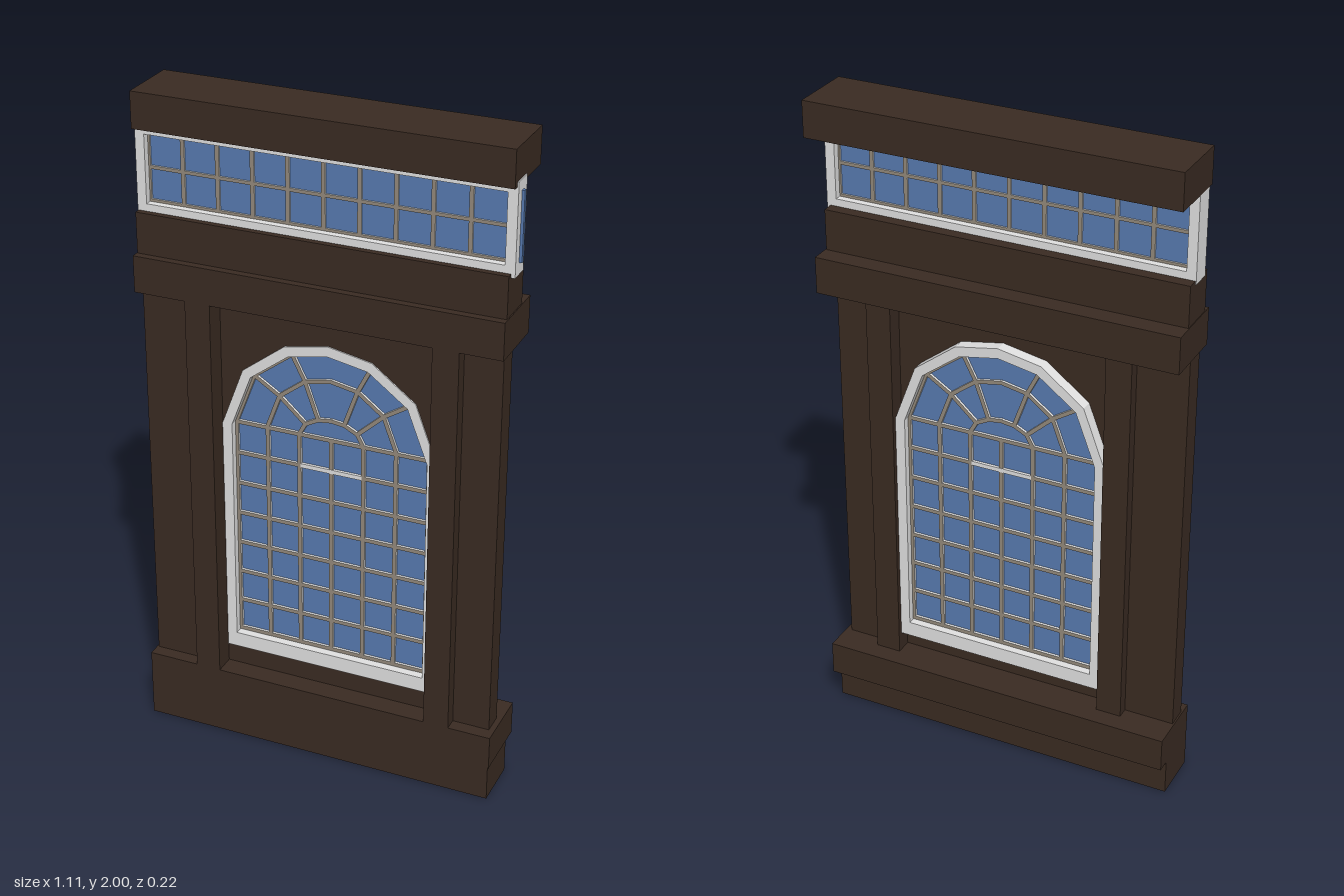
import * as THREE from 'three';

const mat = (name, color) => {
  const m = new THREE.MeshStandardMaterial({ color });
  m.name = name;
  return m;
};

export function createModel() {
  const root = new THREE.Group();
  root.name = 'windowBay';
  const wood = mat('darkBrown', 0x3a2b22);
  const white = mat('frameWhite', 0xe2e2e2);
  const taupe = mat('glazingBarTaupe', 0x948a7c);
  const blue = mat('glassBlue', 0x587bb1);

  const add = (name, geo, material, parent = root) => {
    const m = new THREE.Mesh(geo, material);
    m.name = name;
    parent.add(m);
    return m;
  };
  // Box given by its limits on each axis
  const box = (name, x0, x1, y0, y1, z0, z1, material, parent) => {
    const m = add(name, new THREE.BoxGeometry(x1 - x0, y1 - y0, z1 - z0), material, parent);
    m.position.set((x0 + x1) / 2, (y0 + y1) / 2, (z0 + z1) / 2);
    return m;
  };
  const extrude = (name, shape, z0, z1, material) => {
    const geo = new THREE.ExtrudeGeometry(shape, { depth: z1 - z0, bevelEnabled: false });
    geo.translate(0, 0, z0);
    return add(name, geo, material);
  };

  // Plinth, bands and cornice
  box('plinthLower', -0.557, 0.541, 0, 0.11, -0.045, 0.11, wood);
  box('plinthUpper', -0.557, 0.544, 0.11, 0.215, -0.087, 0.11, wood);
  box('entablature', -0.557, 0.539, 1.42, 1.53, -0.087, 0.11, wood);
  box('frieze', -0.555, 0.536, 1.53, 1.652, -0.029, 0.087, wood);
  box('cornice', -0.557, 0.543, 1.893, 2, -0.11, 0.087, wood);

  // Outer wall strips and the pilasters that stand proud of them
  box('wallRight', -0.552, -0.4, 0.215, 1.42, 0.005, 0.07, wood);
  box('wallLeft', 0.415, 0.527, 0.215, 1.42, 0.005, 0.07, wood);
  box('pilasterRight', -0.4, -0.323, 0.215, 1.42, -0.03, 0.11, wood);
  box('pilasterLeft', 0.338, 0.415, 0.215, 1.42, -0.03, 0.11, wood);

  // Arched outlines
  const cx = 0.008, spring = 1.03;
  const arch = (w, h) => [[1, 0], [0.797, 0.59], [0.4, 0.918], [0, 1], [-0.4, 0.918], [-0.797, 0.59], [-1, 0]]
    .map(([x, y]) => new THREE.Vector2(cx + x * w, spring + y * h));
  const outline = (w, h, bottom) => [
    new THREE.Vector2(cx - w, bottom), new THREE.Vector2(cx + w, bottom), ...arch(w, h)];
  const outer = outline(0.33, 0.303, 0.275);
  const inner = outline(0.3, 0.272, 0.322);

  // Wall around the arch
  const panel = new THREE.Shape([[-0.323, 0.215], [0.338, 0.215], [0.338, 1.42], [-0.323, 1.42]]
    .map(p => new THREE.Vector2(...p)));
  panel.holes.push(new THREE.Path(outline(0.324, 0.297, 0.28)));
  extrude('archWall', panel, 0.022, 0.046, wood);

  // Arched frame and glass
  const frame = new THREE.Shape(outer);
  frame.holes.push(new THREE.Path(inner));
  extrude('archFrame', frame, -0.015, 0.05, white);
  extrude('archGlass', new THREE.Shape(inner), 0.014, 0.02, blue);

  // Glazing bars: white edges with taupe front and back faces
  const bars = new THREE.Group();
  bars.name = 'archGlazingBars';
  bars.position.z = 0.017;
  root.add(bars);
  const barMaterials = [white, white, white, white, taupe, taupe];
  const bar = (a, b, parent = bars, t = 0.012) => {
    const m = add('glazingBar', new THREE.BoxGeometry(a.distanceTo(b) + t * 0.5, t, 0.022), barMaterials, parent);
    m.position.set((a.x + b.x) / 2, (a.y + b.y) / 2, 0);
    m.rotation.z = Math.atan2(b.y - a.y, b.x - a.x);
  };
  const v = (x, y) => new THREE.Vector2(x, y);
  for (let i = -3; i <= 3; i++) bar(v(cx + i * 0.099, 0.328), v(cx + i * 0.099, spring));
  for (let i = 0; i < 8; i++) bar(v(cx - 0.3, 0.33 + i * 0.1), v(cx + 0.3, 0.33 + i * 0.1));
  box('meetingRail', cx - 0.095, cx + 0.095, 0.924, 0.937, -0.012, 0.012, white, bars);

  // Fan of rings and spokes
  const rings = [arch(0.1, 0.062), arch(0.2, 0.185), arch(0.298, 0.269)];
  for (const ring of rings) {
    for (let i = 0; i < 6; i++) bar(ring[i], ring[i + 1]);
  }
  for (const i of [1, 2, 4, 5]) {
    bar(rings[0][i], rings[1][i]);
    bar(rings[1][i], rings[2][i]);
  }

  // Clerestory window, its glass running out past the left end
  const top = new THREE.Group();
  top.name = 'clerestory';
  top.position.z = 0.037;
  root.add(top);
  box('frameBottom', -0.557, 0.547, 1.641, 1.674, -0.032, 0.032, white, top);
  box('frameTop', -0.557, 0.547, 1.876, 1.907, -0.032, 0.032, white, top);
  box('frameRight', -0.557, -0.529, 1.674, 1.876, -0.032, 0.032, white, top);
  box('frameLeft', 0.518, 0.547, 1.674, 1.876, -0.032, 0.032, white, top);
  box('clerestoryGlass', -0.54, 0.555, 1.676, 1.876, -0.006, 0.006, blue, top);
  for (let i = 0; i <= 10; i++) {
    const x = -0.529 + i * 0.1047;
    bar(v(x, 1.674), v(x, 1.876), top);
  }
  for (const y of [1.677, 1.775, 1.873]) bar(v(-0.529, y), v(0.518, y), top, 0.01);

  return root;
}
